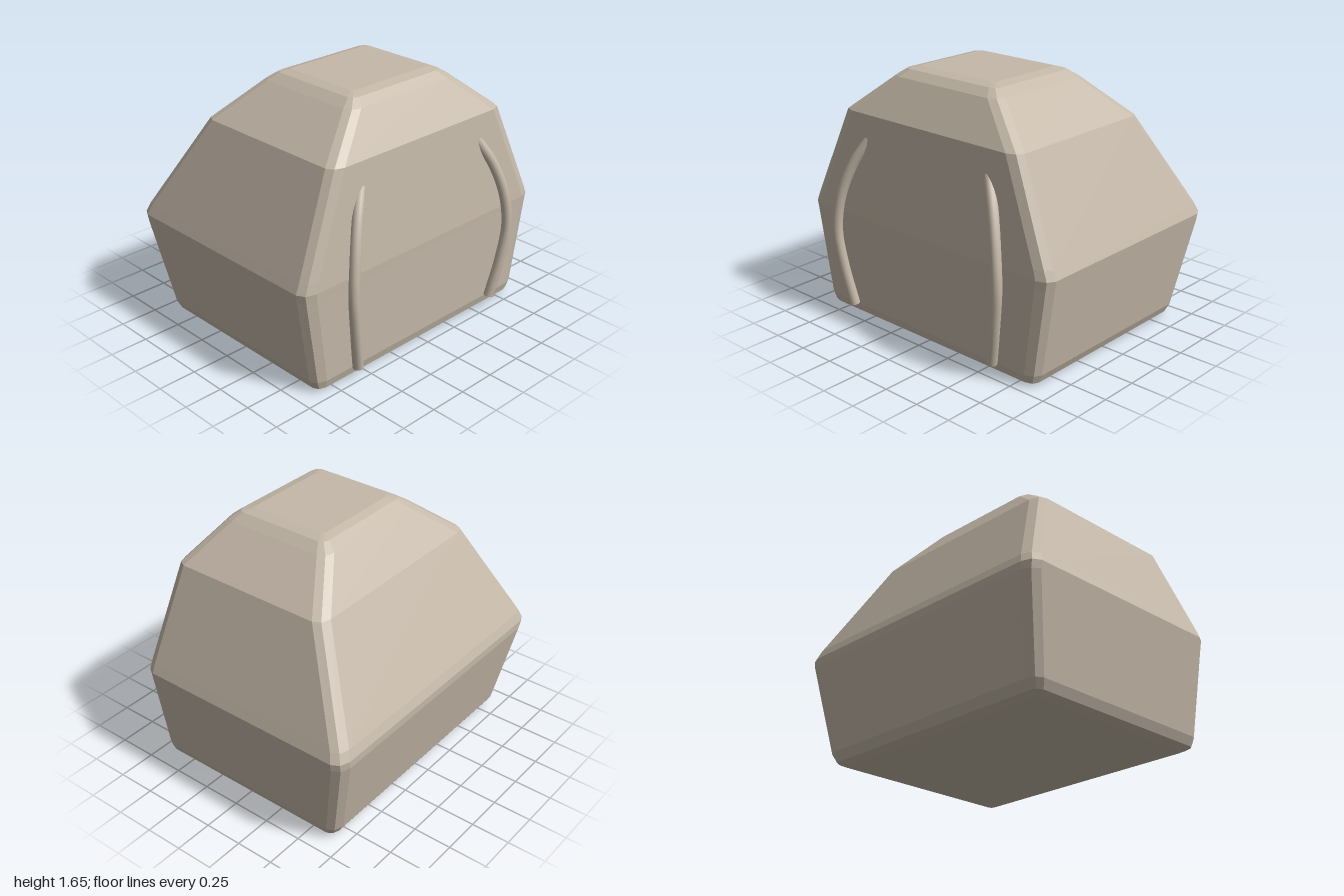
import * as THREE from 'three';

// Cross-sections of the body: height, half width, front z, back z, corner bevel
const SECTIONS = [
  [0, 0.82, 0.64, -0.61, 0.03],
  [0.025, 0.875, 0.69, -0.665, 0.06],
  [0.08, 0.9, 0.705, -0.7, 0.08],
  [0.65, 0.992, 0.72, -0.817, 0.09],
  [0.7, 1.0, 0.722, -0.818, 0.09],
  [0.76, 0.975, 0.717, -0.795, 0.085],
  [1.36, 0.72, 0.662, -0.465, 0.085],
  [1.59, 0.44, 0.51, -0.27, 0.08],
  [1.635, 0.375, 0.455, -0.205, 0.05],
  [1.65, 0.31, 0.39, -0.15, 0.025],
];

// Rectangle with two-step bevelled corners, from +x round towards +z
function ring([y, w, front, back, b]) {
  const corner = [[0, b * 0.8], [b * 0.3, b * 0.25], [b, 0]];
  const frontRight = corner.map(([dx, dz]) => [w - dx, y, front - dz]);
  const backRight = corner.map(([dx, dz]) => [w - dx, y, back + dz]).reverse();
  const mirror = (pts) => pts.map(([x, py, z]) => [-x, py, z]).reverse();
  return [...frontRight, ...mirror(frontRight), ...mirror(backRight), ...backRight];
}

// Flat-faced skin through the rings, closed at both ends
function loft(rings) {
  const n = rings[0].length;
  const top = (rings.length - 1) * n;
  const index = [];
  for (let r = 0; r < rings.length - 1; r++) {
    for (let i = 0; i < n; i++) {
      const a = r * n + i, b = r * n + ((i + 1) % n);
      index.push(a, a + n, b, b, a + n, b + n);
    }
  }
  for (let i = 1; i < n - 1; i++) {
    index.push(0, i, i + 1, top, top + i + 1, top + i);
  }
  const indexed = new THREE.BufferGeometry();
  indexed.setAttribute('position', new THREE.Float32BufferAttribute(rings.flat(2), 3));
  indexed.setIndex(index);
  const geometry = indexed.toNonIndexed();
  geometry.computeVertexNormals();
  return geometry;
}

// Curved strap standing off the front face; side is +1 or -1
function strap(side, material) {
  const group = new THREE.Group();
  const path = new THREE.CatmullRomCurve3([
    [0.6, 0.09, 0.737], [0.652, 0.36, 0.77], [0.68, 0.6, 0.784],
    [0.655, 0.82, 0.766], [0.59, 1.03, 0.715], [0.5, 1.2, 0.647],
  ].map(([x, y, z]) => new THREE.Vector3(x * side, y, z)));
  const radius = 0.033;
  group.add(new THREE.Mesh(new THREE.TubeGeometry(path, 32, radius, 14), material));
  // End caps
  for (const t of [0, 1]) {
    const cap = new THREE.Mesh(new THREE.CircleGeometry(radius, 14), material);
    const outward = path.getTangent(t).multiplyScalar(t ? 1 : -1);
    cap.position.copy(path.getPoint(t));
    cap.quaternion.setFromUnitVectors(new THREE.Vector3(0, 0, 1), outward);
    cap.name = 'strapEnd';
    group.add(cap);
  }
  group.name = side > 0 ? 'leftStrap' : 'rightStrap';
  group.children[0].name = 'strapTube';
  return group;
}

export function createModel() {
  const model = new THREE.Group();
  model.name = 'backpack';
  const canvas = new THREE.MeshStandardMaterial({ color: 0xc4b8a8 });
  canvas.name = 'beige canvas';

  const body = new THREE.Mesh(loft(SECTIONS.map(ring)), canvas);
  body.name = 'body';
  model.add(body, strap(1, canvas), strap(-1, canvas));
  return model;
}
